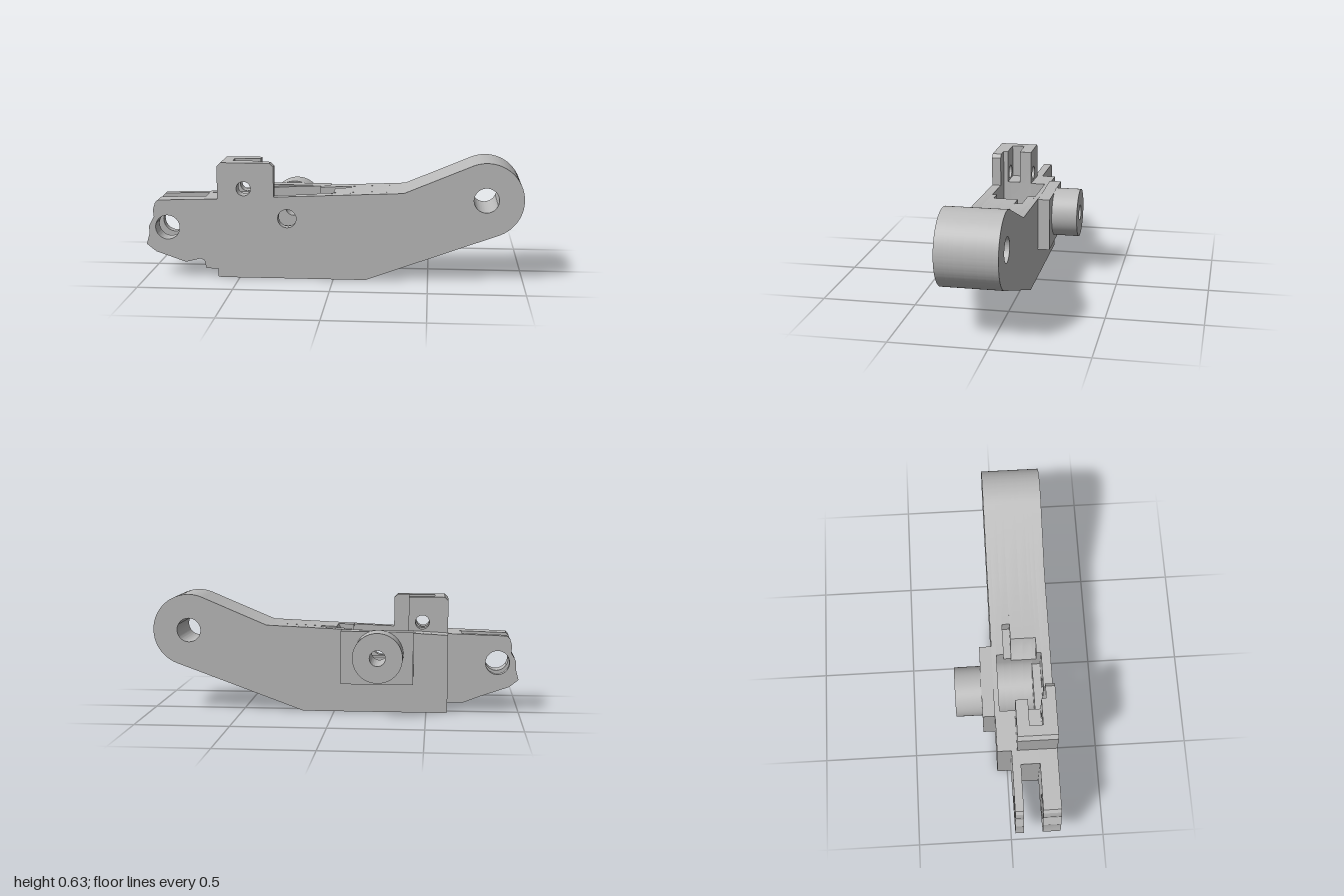
import * as THREE from 'three';
import { toCreasedNormals } from 'three/addons/utils/BufferGeometryUtils.js';

const BORE = [-0.245, 0.325];
const circle = (x, y, r) => new THREE.Path().absarc(x, y, r, 0, Math.PI * 2, true);
const shapeOf = (pts) => new THREE.Shape(pts.map(([x, y]) => new THREE.Vector2(x, y)));

export function createModel() {
  const group = new THREE.Group();
  const metal = new THREE.MeshStandardMaterial({ color: 0xbcbcbc });
  metal.name = 'grey metal';

  // Extrude an outline with round holes between two depths
  function slab(name, shape, holes, z0, z1) {
    shape.holes = holes.map((h) => circle(...h));
    let geo = new THREE.ExtrudeGeometry(shape, { depth: z1 - z0, bevelEnabled: false, curveSegments: 40 });
    geo.translate(0, 0, z0);
    geo = toCreasedNormals(geo, 0.45);
    const mesh = new THREE.Mesh(geo, metal);
    mesh.name = name;
    group.add(mesh);
  }

  // Arm outline; only the stretch of top edge (right to left) varies
  function armShape(top) {
    const s = new THREE.Shape();
    s.moveTo(-0.615, 0.003);
    s.lineTo(-0.6, 0);
    s.lineTo(0.17, 0);
    s.absarc(0.8, 0.438, 0.196, -1.22, 1.98, false);
    s.lineTo(0.37, 0.47);
    top.forEach(([x, y]) => s.lineTo(x, y));
    return s;
  }

  // Top edge pieces
  const plainTop = [[-0.315, 0.44], [-0.615, 0.425]];
  const roundPocket = [[-0.09, 0.45]];
  for (let i = 0; i <= 24; i++) {
    const a = (-Math.PI * i) / 24;
    roundPocket.push([BORE[0] + 0.155 * Math.cos(a), BORE[1] + 0.155 * Math.sin(a)]);
  }
  const flatPocket = [[-0.09, 0.45], [-0.09, 0.27], [-0.4, 0.27]];
  const lowLeft = [[-0.4, 0.436], [-0.615, 0.425]];
  const narrowSlot = [[0.08, 0.457], [0.08, 0.38], [-0.09, 0.38]];
  const scoop = [[-0.005, 0.454], [-0.03, 0.4], [-0.09, 0.35]];
  const tower = [[-0.4, 0.62], [-0.595, 0.62], [-0.615, 0.6]];
  const slottedTower = [[-0.4, 0.44], [-0.54, 0.44], [-0.54, 0.62], [-0.595, 0.62], [-0.615, 0.6]];
  const frontTower = [[-0.315, 0.44], [-0.315, 0.6], [-0.335, 0.62], [-0.595, 0.62], [-0.615, 0.6]];

  // Arm built as slices from back to front
  const eye = [0.8, 0.438, 0.065];
  const pin = [-0.475, 0.482, 0.038];
  const cut = roundPocket.slice(1);
  const slices = [
    ['armBackWall', plainTop, [eye, [...BORE, 0.042]], -0.055, -0.03],
    ['armPocket', [...roundPocket, ...lowLeft], [eye], -0.03, 0.01],
    ['armNarrowSlot', [...narrowSlot, ...cut, ...lowLeft], [eye], 0.01, 0.05],
    ['armTowerBack', [...scoop, ...cut, ...tower], [eye, pin], 0.05, 0.115],
    ['armTowerSlot', [...scoop, ...cut, ...slottedTower], [eye], 0.115, 0.165],
    ['armTowerSlotStep', [...scoop, ...flatPocket.slice(1), ...slottedTower], [eye], 0.165, 0.185],
    ['armTowerStep', [...flatPocket, ...tower], [eye, pin], 0.185, 0.21],
    ['armFrontWall', frontTower, [eye, pin, [...BORE, 0.049]], 0.21, 0.26],
  ];
  slices.forEach(([name, top, holes, z0, z1]) => slab(name, armShape(top), holes, z0, z1));

  // Fork with two prongs joined by a root
  const forkEnd = [[-0.615, 0.425], [-0.935, 0.415], [-0.95, 0.4], [-0.962, 0.36], [-0.958, 0.325],
    [-0.985, 0.275], [-0.985, 0.23], [-1, 0.175], [-0.95, 0.135], [-0.79, 0.08]];
  const forkHole = [-0.885, 0.268, 0.065];
  const backFoot = [[-0.7, 0.045], [-0.615, 0.045]];
  const frontFoot = [[-0.71, 0.1], [-0.69, 0.09], [-0.68, 0.048], [-0.615, 0.045]];
  slab('forkBackProng', shapeOf([...forkEnd, ...backFoot]), [forkHole], 0.02, 0.065);
  slab('forkFrontProng', shapeOf([...forkEnd, ...frontFoot]), [forkHole], 0.165, 0.26);
  slab('forkRoot', shapeOf([[-0.615, 0.425], [-0.69, 0.422], [-0.69, 0.048], [-0.615, 0.045]]), [], 0.065, 0.165);

  // Rear mounting pad and round boss
  slab('rearPad', shapeOf([[-0.43, 0.162], [-0.04, 0.162], [-0.04, 0.449], [-0.43, 0.449]]),
    [[...BORE, 0.042]], -0.12, -0.055);
  const boss = new THREE.Shape().absarc(...BORE, 0.133, 0, Math.PI * 2, false);
  slab('rearBoss', boss, [[...BORE, 0.042]], -0.26, -0.12);

  return group;
}
